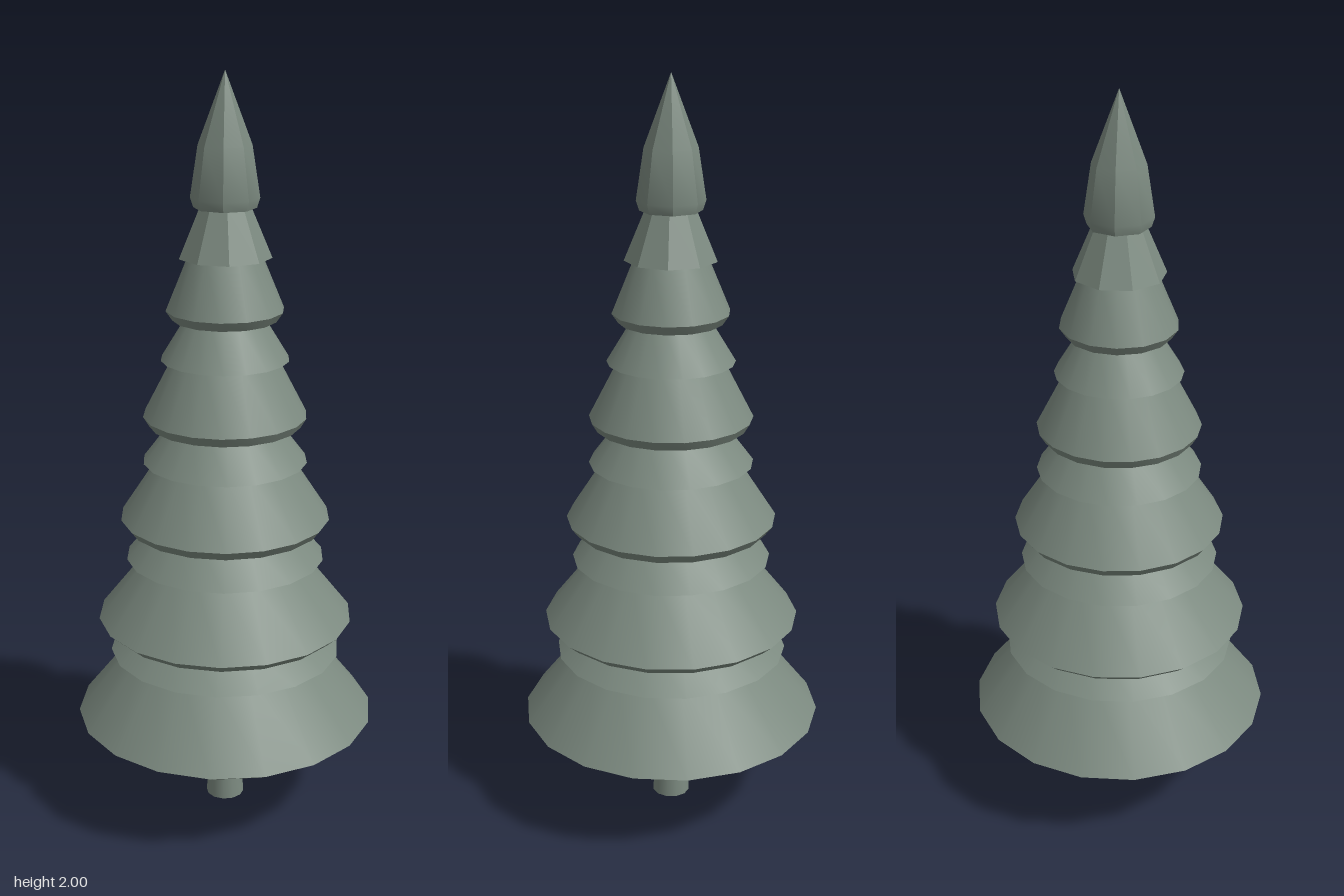
import * as THREE from 'three';
import { toCreasedNormals } from 'three/addons/utils/BufferGeometryUtils.js';

export function createModel() {
  const tree = new THREE.Group();
  tree.name = 'firTree';
  const green = new THREE.MeshStandardMaterial({ color: 0x7c8a80, side: THREE.DoubleSide });
  green.name = 'greyGreen';

  // Turned part from [radius, height] pairs, bottom to top, with sharp rims
  function turned(name, profile, sides, turn, crease = 0.62) {
    const points = profile.map(([r, y]) => new THREE.Vector2(r, y));
    const lathe = new THREE.LatheGeometry(points, sides, Math.PI / 2 + turn);
    const mesh = new THREE.Mesh(toCreasedNormals(lathe, crease), green);
    mesh.name = name;
    tree.add(mesh);
  }

  // Tapered trunk, open at the foot
  turned('trunk', [[0.052, 0], [0.036, 0.27]], 12, 0);

  // Tiers: underside y, underside radius, rim y, rim radius,
  // collar y, slope radius there, collar radius, top y, top radius, turn
  const tiers = [
    [0.25, 0.365, 0.275, 0.405, 0.46, 0.255, 0.312, 0.545, 0.22, 0],
    [0.535, 0.315, 0.56, 0.343, 0.73, 0.205, 0.265, 0.825, 0.185, 0.06],
    [0.82, 0.26, 0.845, 0.279, 1.0, 0.175, 0.217, 1.105, 0.138, 0.1],
    [1.1, 0.2, 1.125, 0.215, 1.275, 0.135, 0.167, 1.385, 0.1, 0.05],
    [1.38, 0.136, 1.405, 0.153, 1.54, 0.095, 0.12, 1.67, 0.065, 0.16],
  ];
  tiers.forEach(([y0, r0, y1, r1, y2, r2, r3, y4, r4, turn], i) => {
    const n = i + 1;
    const sides = i < 4 ? 18 : 14;
    turned('lowerBranches' + n, [[0, y0], [r0, y0], [r1, y1], [r2, y2 + 0.005]], sides, turn);
    turned('upperBranches' + n, [[r2 - 0.02, y2], [r3, y2], [r4, y4], [0, y4]],
      i < 4 ? 18 : 9, turn + 0.02, i < 4 ? 0.62 : 0.4);
  });

  // Pointed crown
  turned('crown', [[0, 1.665], [0.08, 1.665], [0.088, 1.69], [0.068, 1.82], [0, 2]], 8, 0.3, 0.5);

  return tree;
}
